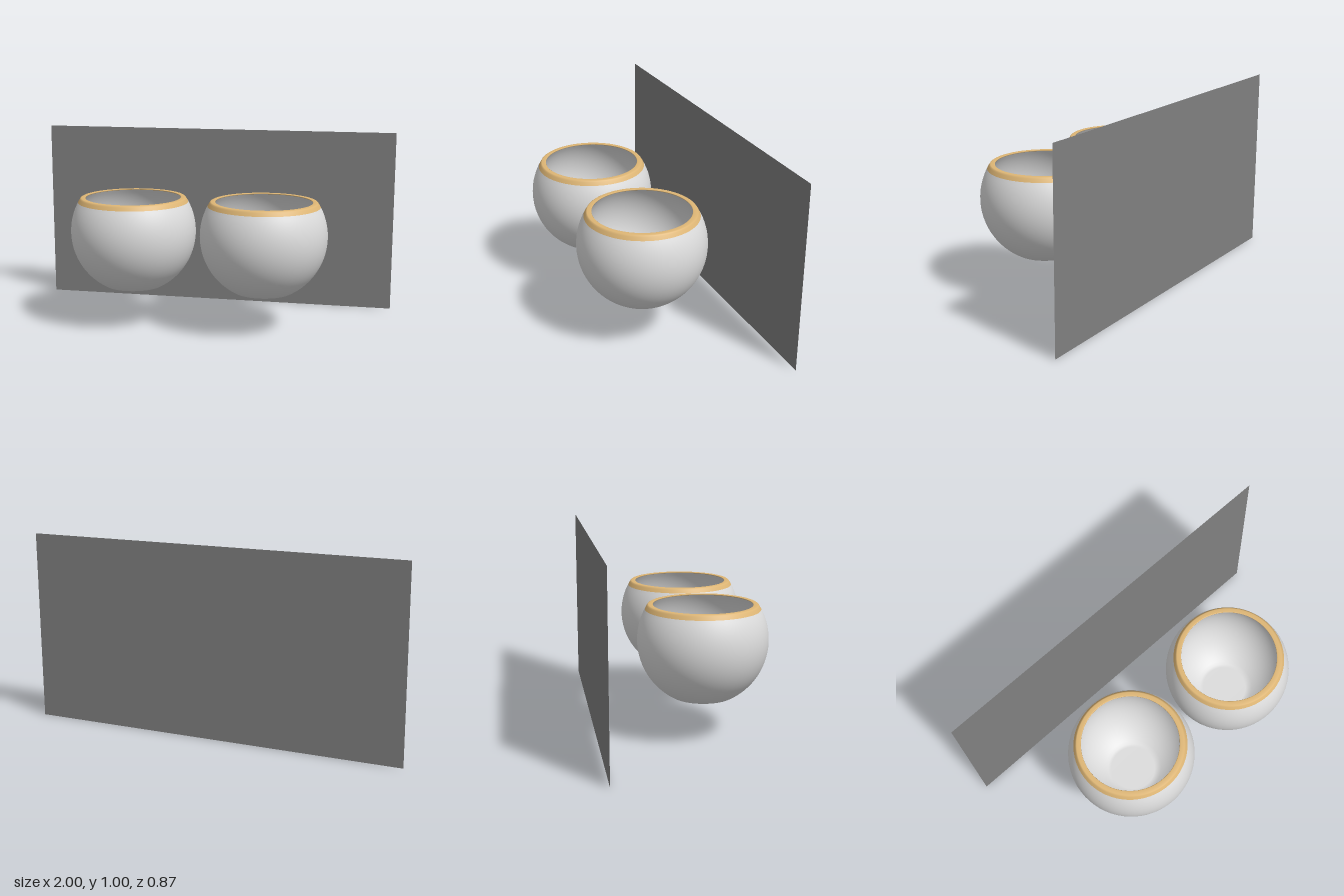
import * as THREE from 'three';

const CY = 0.507, R_OUT = 0.332, R_IN = 0.31;

// points along a spherical wall between two heights
function arc(r, y0, y1, n) {
  const a0 = Math.asin((y0 - CY) / r), a1 = Math.asin((y1 - CY) / r);
  return Array.from({ length: n + 1 }, (_, i) => {
    const a = a0 + (a1 - a0) * i / n;
    return new THREE.Vector2(r * Math.cos(a), CY + r * Math.sin(a));
  });
}

export function createModel() {
  const wallGrey = new THREE.MeshStandardMaterial({ color: 0x808080, side: THREE.DoubleSide });
  wallGrey.name = 'wallGrey';
  const bowlWhite = new THREE.MeshStandardMaterial({ color: 0xdcdcdc });
  bowlWhite.name = 'bowlWhite';
  const rimTan = new THREE.MeshStandardMaterial({ color: 0xdeb675 });
  rimTan.name = 'rimTan';

  const v = (x, y) => new THREE.Vector2(x, y);
  const lathe = (pts) => new THREE.LatheGeometry(pts, 64);

  // outer shell: flat foot, small bevel, spherical side
  const outerGeo = lathe([v(0, 0.207), v(0.13, 0.207), ...arc(R_OUT, 0.213, 0.665, 28)]);
  // inner shell runs from the lip down to the flat floor
  const innerGeo = lathe([...arc(R_IN, 0.685, 0.229, 28), v(0.12, 0.227), v(0, 0.227)]);
  // coloured lip
  const rimGeo = lathe([...arc(R_OUT, 0.665, 0.687, 4), v(0.274, 0.69), v(0.256, 0.69), v(0.253, 0.689), ...arc(R_IN, 0.688, 0.685, 1)]);

  const model = new THREE.Group();
  const add = (parent, name, geo, mat) => {
    const m = new THREE.Mesh(geo, mat);
    m.name = name;
    parent.add(m);
    return m;
  };

  // backing wall sheet
  add(model, 'backWall', new THREE.PlaneGeometry(2, 1), wallGrey).position.set(0, 0.5, -0.437);

  // pair of bowls
  for (const side of [-1, 1]) {
    const bowl = new THREE.Group();
    bowl.name = side > 0 ? 'leftBowl' : 'rightBowl';
    add(bowl, 'outerShell', outerGeo, bowlWhite);
    add(bowl, 'innerShell', innerGeo, bowlWhite);
    add(bowl, 'rim', rimGeo, rimTan);
    bowl.position.set(side * 0.35, 0, 0.105);
    model.add(bowl);
  }
  return model;
}
